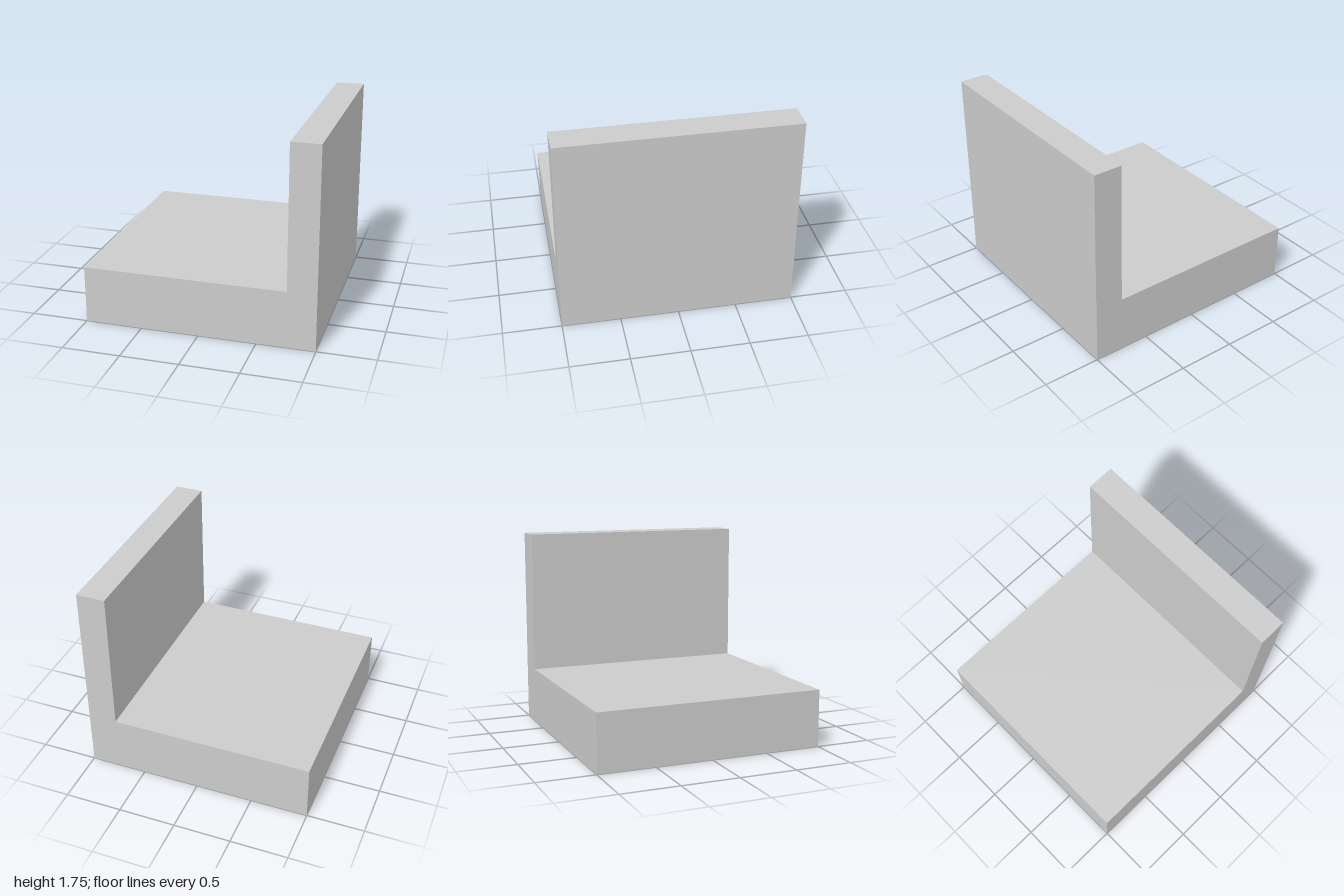
import * as THREE from 'three';

export function createModel() {
  const group = new THREE.Group();
  group.name = 'seatBlock';

  // L-shaped section: thick base with an upright wall on the +x side
  const section = new THREE.Shape([
    [-1, 0], [1, 0], [1, 1.75], [0.75, 1.75], [0.75, 0.5], [-1, 0.5],
  ].map(([x, y]) => new THREE.Vector2(x, y)));

  // Run the section along z, centred on the origin
  const depth = 2;
  const geometry = new THREE.ExtrudeGeometry(section, { depth, bevelEnabled: false });
  geometry.translate(0, 0, -depth / 2);

  const body = new THREE.Mesh(
    geometry,
    new THREE.MeshStandardMaterial({ color: 0xcccccc, flatShading: true }),
  );
  body.name = 'baseAndBackrest';
  group.add(body);
  return group;
}
